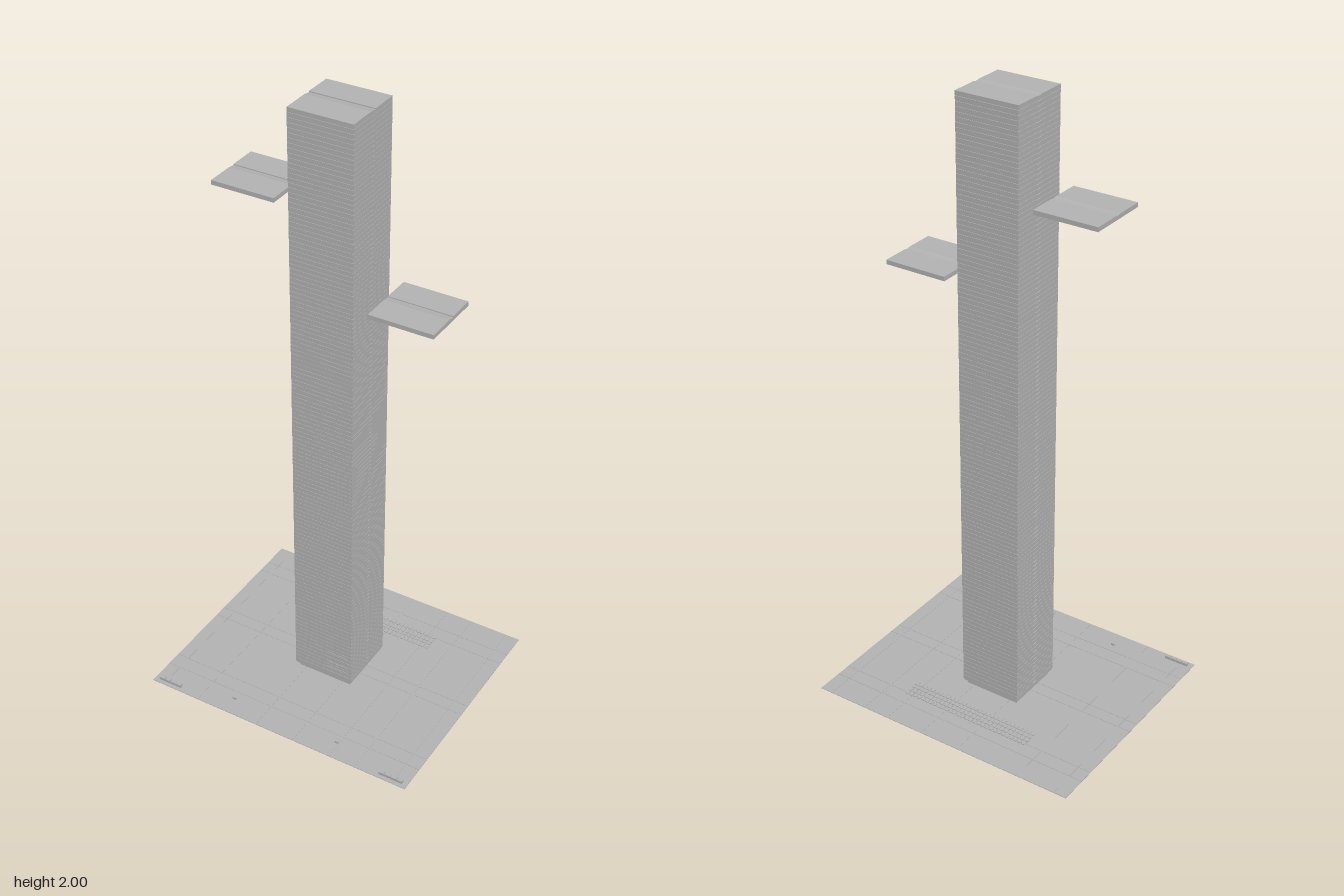
import * as THREE from 'three';

export function createModel() {
  const model = new THREE.Group();
  const grey = new THREE.MeshStandardMaterial({ color: 0xb4b4b4 });
  grey.name = 'concrete grey';

  function add(parent, name, geometry, x, y, z) {
    const mesh = new THREE.Mesh(geometry, grey);
    mesh.name = name;
    mesh.position.set(x, y, z);
    parent.add(mesh);
    return mesh;
  }
  function group(name) {
    const g = new THREE.Group();
    g.name = name;
    model.add(g);
    return g;
  }
  const box = (w, h, d) => new THREE.BoxGeometry(w, h, d);

  // Square slab with a shallow ramped groove across its top, base at y = 0
  const W = 0.208, D = 0.205, H = 0.014, zc = -0.0095;
  const profile = new THREE.Shape([
    [-D / 2, 0], [D / 2, 0], [D / 2, H], [0.0115, H], [0.0113, H - 0.003],
    [-0.0065, H - 0.001], [-0.0095, H], [-D / 2, H],
  ].map(([a, b]) => new THREE.Vector2(a, b)));
  const slab = new THREE.ExtrudeGeometry(profile, { depth: W, bevelEnabled: false });
  slab.translate(0, 0, -W / 2);
  slab.rotateY(Math.PI / 2); // profile axis runs towards the back

  // Tower: a tall stack of slabs around a slightly inset core
  const tower = group('tower');
  const step = 0.015, floors = 132, base = 2 - H - (floors - 1) * step;
  for (let i = 0; i < floors; i++) add(tower, 'floorSlab', slab, -0.001, base + i * step, zc);
  add(tower, 'core', box(W - 0.004, 1.97, D - 0.004), -0.001, 1.0, zc);
  add(tower, 'foot', box(W - 0.02, 0.012, D - 0.02), -0.001, 0.006, zc);

  // Two slabs hovering beside the tower
  add(model, 'rightFloatingSlab', slab, -0.256, 1.699, zc);
  add(model, 'leftFloatingSlab', slab, 0.254, 1.419, zc);

  // Entrance louvres low on the front
  const entrance = group('entrance');
  for (let i = 0; i < 5; i++) add(entrance, 'louvre', box(0.075, 0.004, 0.002), 0.052, 0.035 + i * 0.02, 0.0935);

  // Thin ground sheet with paving tiles split by narrow joints
  const ground = group('ground');
  add(ground, 'groundSheet', box(0.934, 0.0005, 0.782), 0, 0.00025, 0);
  const xs = [-0.467, -0.424, -0.291, -0.07, 0.067, 0.199, 0.29, 0.421, 0.467];
  const zs = [-0.391, -0.302, -0.253, -0.022, 0.021, 0.25, 0.299, 0.391];
  for (let i = 0; i < xs.length - 1; i++) {
    for (let j = 0; j < zs.length - 1; j++) {
      const w = xs[i + 1] - xs[i], d = zs[j + 1] - zs[j];
      add(ground, 'pavingTile', box(w - 0.002, 0.001, d - 0.002),
        (xs[i] + xs[i + 1]) / 2, 0.001, (zs[j] + zs[j + 1]) / 2);
    }
  }

  // Long grating behind the tower: rows of little blocks
  const grating = group('rearGrating');
  const rows = [[-0.254, 0.012], [-0.235, 0.016], [-0.219, 0.01], [-0.201, 0.014]];
  for (const [z, d] of rows) {
    const block = box(0.011, 0.003, d);
    for (let i = 0; i < 30; i++) add(grating, 'gratingBlock', block, -0.2255 + i * 0.0154, 0.0025, z);
  }

  // Small blocks in the front corners and beside the front path
  for (const side of [-1, 1]) {
    const corner = group(side < 0 ? 'rightCornerBlocks' : 'leftCornerBlocks');
    for (let i = 0; i < 4; i++) add(corner, 'cornerBlock', box(0.019, 0.01, 0.011), side * (0.377 + i * 0.021), 0.006, 0.372);
    add(corner, 'pathBlock', box(0.012, 0.008, 0.004), side * 0.19, 0.005, 0.33);
  }
  return model;
}
